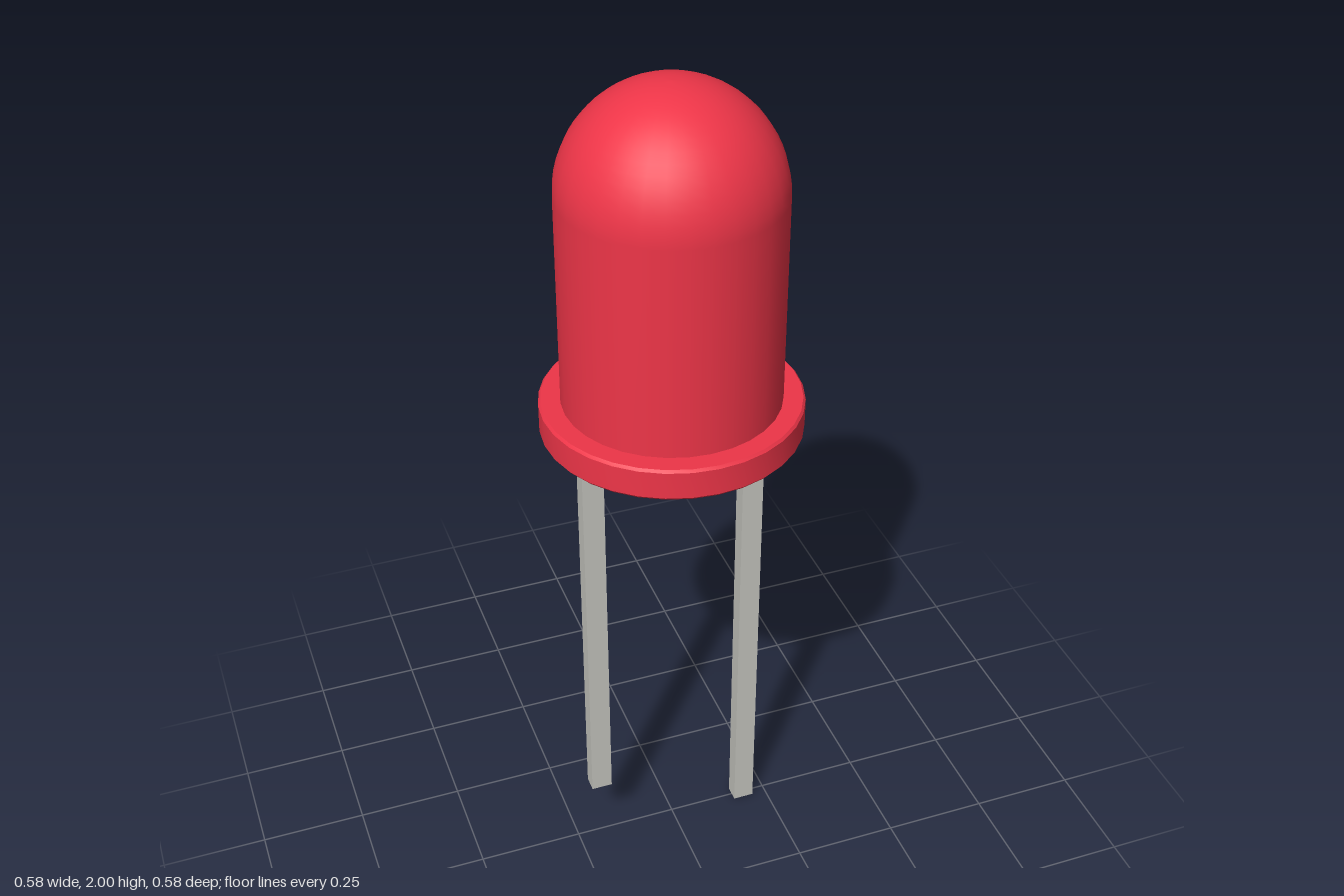
import * as THREE from 'three';
import { toCreasedNormals } from 'three/addons/utils/BufferGeometryUtils.js';

const SEGMENTS = 32;

export function createModel() {
  const model = new THREE.Group();
  const red = new THREE.MeshStandardMaterial({ color: 0xee3548 });
  const metal = new THREE.MeshStandardMaterial({ color: 0xc4c4be });

  const add = (name, geometry, material) => {
    const mesh = new THREE.Mesh(geometry, material);
    mesh.name = name;
    model.add(mesh);
    return mesh;
  };

  // Lens: straight wall running smoothly into a hemispherical dome
  const radius = 0.242, shoulder = 2 - radius;
  const lens = [new THREE.Vector2(radius, 1.27)];
  for (let i = 0; i <= 16; i++) {
    const a = (i / 16) * Math.PI / 2;
    lens.push(new THREE.Vector2(i === 16 ? 0 : radius * Math.cos(a), shoulder + radius * Math.sin(a)));
  }
  add('lens', new THREE.LatheGeometry(lens, SEGMENTS), red);

  // Base flange: a closed disc with slightly eased rims
  const flange = [
    [0, 1.2], [0.285, 1.2], [0.29, 1.206], [0.29, 1.269], [0.285, 1.275], [0, 1.275],
  ].map(([x, y]) => new THREE.Vector2(x, y));
  add('baseFlange', toCreasedNormals(new THREE.LatheGeometry(flange, SEGMENTS), 0.6), red);

  // Square wire legs: the one on the left is longer
  const addLeg = (name, x, bottom) => {
    const top = 1.21;
    const leg = add(name, new THREE.BoxGeometry(0.05, top - bottom, 0.038), metal);
    leg.position.set(x, (top + bottom) / 2, 0);
  };
  addLeg('longLeg', 0.19, 0);
  addLeg('shortLeg', -0.19, 0.165);

  return model;
}
